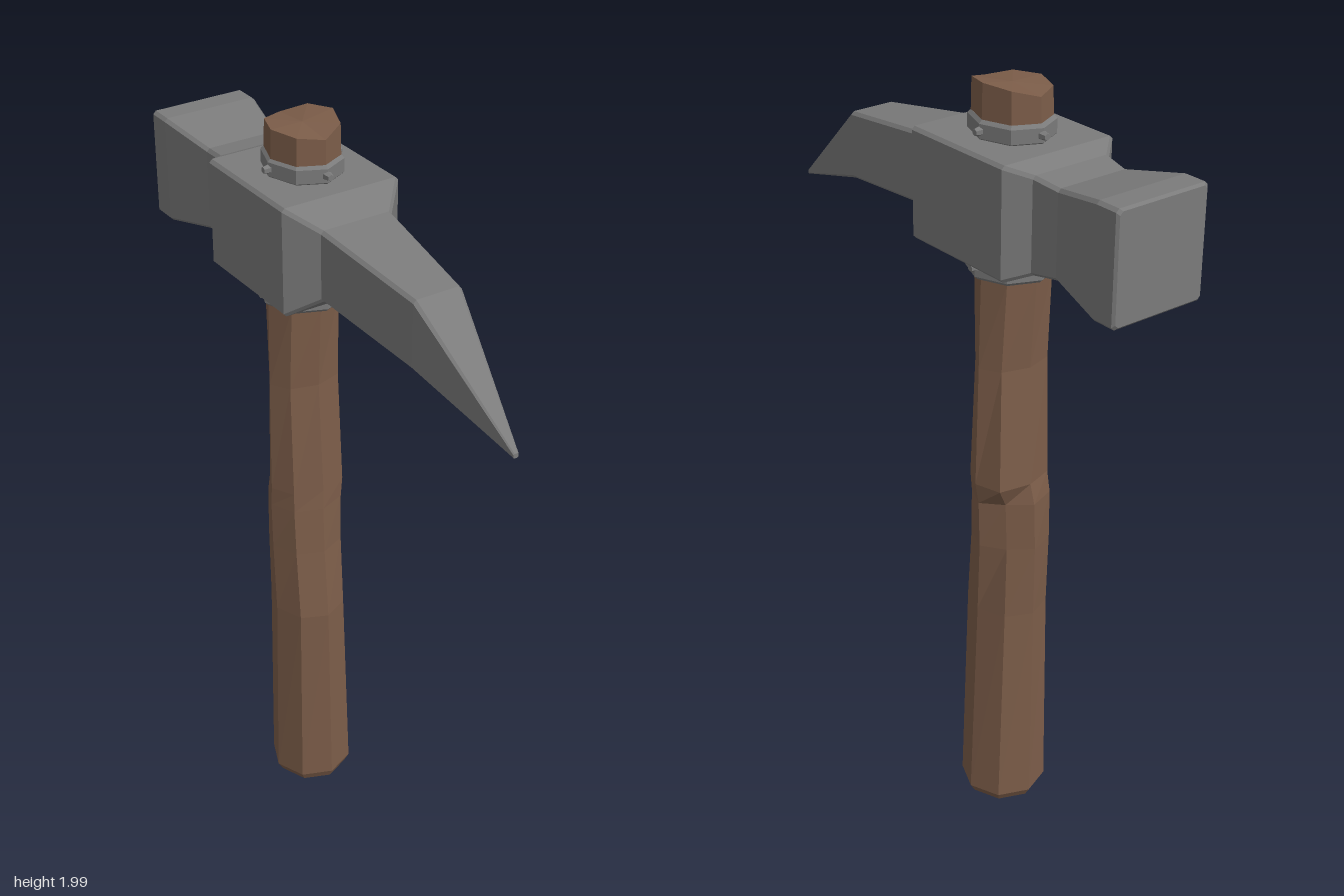
import * as THREE from 'three';

const metal = new THREE.MeshStandardMaterial({ color: 0x7b7b7b, flatShading: true });
metal.name = 'steel';
const wood = new THREE.MeshStandardMaterial({ color: 0x7c5d49, flatShading: true });
wood.name = 'wood';

// Skin a list of rings (each counterclockwise about the forward direction) and close both ends
function loft(name, rings, material) {
  const pos = [];
  const tri = (...pts) => pts.forEach((p) => pos.push(p.x, p.y, p.z));
  const centre = (r) => r.reduce((s, p) => s.add(p), new THREE.Vector3()).divideScalar(r.length);
  const n = rings[0].length;
  const first = rings[0], last = rings[rings.length - 1];
  const c0 = centre(first), c1 = centre(last);
  for (let i = 0; i < n; i++) {
    const j = (i + 1) % n;
    for (let k = 0; k < rings.length - 1; k++) {
      const a = rings[k], b = rings[k + 1];
      tri(a[i], a[j], b[j]);
      tri(a[i], b[j], b[i]);
    }
    tri(c0, first[j], first[i]);
    tri(c1, last[i], last[j]);
  }
  const geo = new THREE.BufferGeometry();
  geo.setAttribute('position', new THREE.Float32BufferAttribute(pos, 3));
  geo.computeVertexNormals();
  const mesh = new THREE.Mesh(geo, material);
  mesh.name = name;
  return mesh;
}

// Rectangle with cut corners, across z
function headRing([z, w, y0, y1]) {
  const c = Math.min(0.008, w * 0.4, (y1 - y0) * 0.3);
  return [
    [w, y0 + c], [w, y1 - c], [w - c, y1], [c - w, y1],
    [-w, y1 - c], [-w, y0 + c], [c - w, y0], [w - c, y0],
  ].map(([x, y]) => new THREE.Vector3(x, y, z));
}

// Eight-sided oval given by its x and z extents, across y
function ovalRing([y, x0, x1, z0, z1]) {
  return Array.from({ length: 8 }, (_, i) => {
    const t = (i * Math.PI) / 4;
    return new THREE.Vector3(
      (x0 + x1) / 2 + ((x1 - x0) / 2) * Math.sin(t), y,
      (z0 + z1) / 2 + ((z1 - z0) / 2) * Math.cos(t));
  });
}

// Band around the handle with a rivet on each of four sides
function collar(name, y0, y1, rx, rz, zc) {
  const group = new THREE.Group();
  group.name = name;
  const b = 0.008;
  const ring = (y, d) => ovalRing([y, d - rx, rx - d, zc - rz + d, zc + rz - d]);
  group.add(loft(name + 'Band', [ring(y0, b), ring(y0 + b, 0), ring(y1 - b, 0), ring(y1, b)], metal));
  for (let i = 0; i < 4; i++) {
    const t = (i * Math.PI) / 2;
    const rivet = new THREE.Mesh(new THREE.CylinderGeometry(0.008, 0.014, 0.026, 6), metal);
    rivet.name = name + 'Rivet';
    rivet.position.set(rx * Math.sin(t), (y0 + y1) / 2, zc + rz * Math.cos(t));
    rivet.rotation.set(Math.PI / 2, t, 0, 'YXZ');
    group.add(rivet);
  }
  return group;
}

export function createModel() {
  const model = new THREE.Group();
  model.name = 'pickHammer';

  // Head, from the square striking face to the drooping pick: z, half width, bottom, top
  const head = [
    [-0.67, 0.124, 1.596, 1.859],
    [-0.664, 0.13, 1.59, 1.865],
    [-0.605, 0.13, 1.59, 1.865],
    [-0.45, 0.1, 1.62, 1.835],
    [-0.378, 0.11, 1.61, 1.845],
    [-0.333, 0.16, 1.59, 1.865],
    [-0.01, 0.16, 1.59, 1.865],
    [0.055, 0.097, 1.64, 1.82],
    [0.37, 0.065, 1.602, 1.776],
    [0.667, 0.007, 1.511, 1.523],
  ];
  model.add(loft('head', head.map(headRing), metal));

  // Handle, bottom to top: y, x extents, z extents
  const handle = [
    [0, -0.095, 0.1, -0.27, -0.075],
    [0.025, -0.11, 0.115, -0.285, -0.063],
    [0.6, -0.102, 0.092, -0.278, -0.065],
    [0.8, -0.1, 0.098, -0.284, -0.088],
    [0.93, -0.1, 0.105, -0.282, -0.098],
    [0.985, -0.1, 0.112, -0.27, -0.102],
    [1.3, -0.098, 0.103, -0.256, -0.115],
    [1.53, -0.095, 0.098, -0.272, -0.1],
    [1.86, -0.09, 0.088, -0.275, -0.07],
    [1.975, -0.085, 0.085, -0.272, -0.072],
  ].map(ovalRing);
  // Chipped step on one rear edge
  [[3, -0.012], [4, -0.016], [5, 0.01]].forEach(([k, d]) => {
    handle[k][3].x += d;
    handle[k][3].z -= d;
  });
  // Uneven sawn top
  handle[handle.length - 1].forEach((p) => {
    p.y = 1.97 + 0.2 * Math.abs(p.x) + 0.08 * p.x;
    p.y = Math.min(p.y, 2);
  });
  model.add(loft('handle', handle, wood));

  model.add(collar('upperCollar', 1.86, 1.91, 0.095, 0.11, -0.173));
  model.add(collar('lowerCollar', 1.53, 1.595, 0.11, 0.112, -0.177));
  return model;
}
